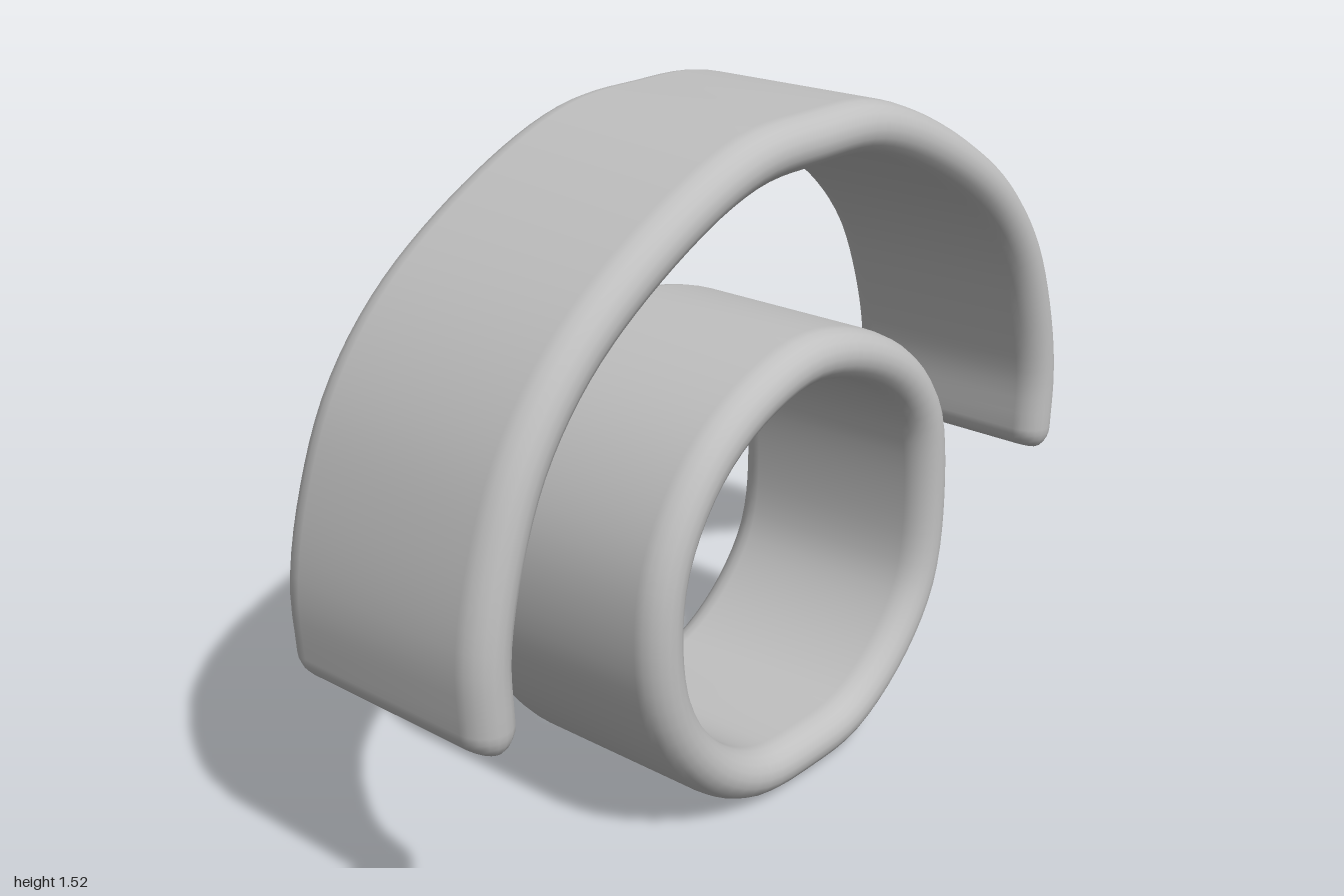
import * as THREE from 'three';

const HALF_T = 0.057; // half thickness of the band
const HALF_W = 0.282; // half width of the band
const EDGE = 0.065;   // rounding of the rims across the width

// Rounded band cross-section: [outward, z] pairs, one half ellipse per rim
function bandSection() {
  const pts = [];
  const n = 10;
  for (const side of [1, -1]) {
    for (let k = 0; k <= n; k++) {
      const a = (k / n) * Math.PI;
      pts.push([side * Math.cos(a), side * Math.sin(a), side]);
    }
  }
  return pts;
}

// Sweeps the band along a counter-clockwise path in the xy plane
function sweepBand(points, closed, steps) {
  const curve = new THREE.CatmullRomCurve3(points.map(([x, y]) => new THREE.Vector3(x, y, 0)), closed);
  const frames = [];
  const addCap = (u, dir) => {
    const p = curve.getPointAt(u), t = curve.getTangentAt(u);
    const cap = [];
    for (let k = 1; k <= 6; k++) {
      const a = (k / 6) * Math.PI / 2;
      cap.push({ p: p.clone().addScaledVector(t, dir * HALF_T * Math.sin(a)), t, s: Math.cos(a) });
    }
    return dir < 0 ? cap.reverse() : cap;
  };
  if (!closed) frames.push(...addCap(0, -1));
  for (let i = 0; i < (closed ? steps : steps + 1); i++) {
    const u = i / steps;
    frames.push({ p: curve.getPointAt(u), t: curve.getTangentAt(u), s: 1 });
  }
  if (!closed) frames.push(...addCap(1, 1));

  const section = bandSection(), m = section.length;
  const position = [], index = [];
  for (const { p, t, s } of frames) {
    for (const [c, d, side] of section) {
      const off = HALF_T * s * c;
      const z = side * (HALF_W - EDGE) + d * EDGE * (0.4 + 0.6 * s);
      position.push(p.x + t.y * off, p.y - t.x * off, z);
    }
  }
  const rings = closed ? frames.length : frames.length - 1;
  for (let i = 0; i < rings; i++) {
    const i2 = (i + 1) % frames.length;
    for (let j = 0; j < m; j++) {
      const j2 = (j + 1) % m;
      const a = i * m + j, b = i2 * m + j, c = i2 * m + j2, d = i * m + j2;
      index.push(a, b, d, b, c, d);
    }
  }
  const geo = new THREE.BufferGeometry();
  geo.setAttribute('position', new THREE.Float32BufferAttribute(position, 3));
  geo.setIndex(index);
  geo.computeVertexNormals();
  return geo;
}

export function createModel() {
  const group = new THREE.Group();
  const grey = new THREE.MeshStandardMaterial({ color: 0xc0c0c0 });
  grey.name = 'plain grey';

  const add = (name, geo) => {
    const mesh = new THREE.Mesh(geo, grey);
    mesh.name = name;
    group.add(mesh);
  };

  // Half arch with a flat crown, mirrored to the other side
  const half = [[0.942, 0.557], [0.944, 0.7], [0.905, 0.87], [0.825, 1.05],
    [0.685, 1.21], [0.43, 1.37], [0.2, 1.455]];
  const arch = [...half, [0, 1.465], ...half.map(([x, y]) => [-x, y]).reverse()];
  add('arch', sweepBand(arch, false, 72));

  // Slightly uneven ring, flatter at the bottom and on its left side
  const ring = [[0.46, 0.4], [0.46, 0.65], [0.43, 0.76], [0.34, 0.87], [0.18, 0.96], [0, 0.998],
    [-0.16, 0.965], [-0.3, 0.89], [-0.395, 0.79], [-0.455, 0.67], [-0.474, 0.525], [-0.455, 0.38],
    [-0.4, 0.26], [-0.29, 0.14], [-0.16, 0.072], [0, 0.059], [0.16, 0.072], [0.31, 0.155], [0.42, 0.28]];
  add('ring', sweepBand(ring, true, 72));

  return group;
}
